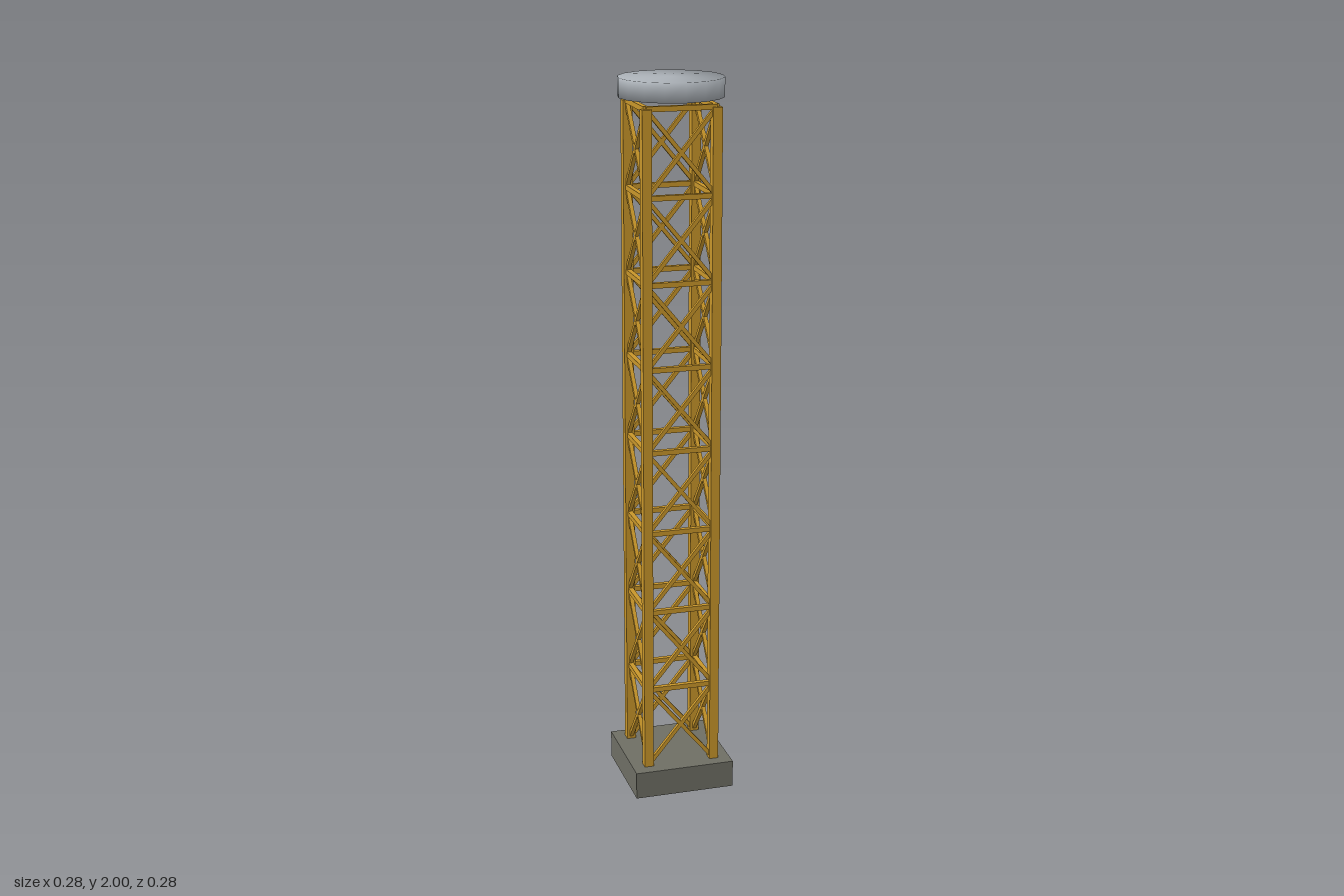
import * as THREE from 'three';

export function createModel() {
  const model = new THREE.Group();
  const yellow = new THREE.MeshStandardMaterial({ color: 0xc8962a });
  const concrete = new THREE.MeshStandardMaterial({ color: 0x6e6e64 });
  const metal = new THREE.MeshStandardMaterial({ color: 0xaab0b6 });

  const baseTop = 0.077, mastTop = 1.93, half = 0.0955, bays = 8;
  const bay = (mastTop - baseTop) / bays;

  function add(parent, name, geometry, material, x = 0, y = 0, z = 0) {
    const mesh = new THREE.Mesh(geometry, material);
    mesh.name = name;
    mesh.position.set(x, y, z);
    parent.add(mesh);
    return mesh;
  }

  // square bar lying in the x-y plane between two points
  function bar(parent, name, x1, y1, x2, y2, t) {
    const length = Math.hypot(x2 - x1, y2 - y1);
    const mesh = add(parent, name, new THREE.BoxGeometry(length, t, t), yellow, (x1 + x2) / 2, (y1 + y2) / 2, half);
    mesh.rotation.z = Math.atan2(y2 - y1, x2 - x1);
  }

  // foundation block
  add(model, 'base', new THREE.BoxGeometry(0.284, baseTop, 0.284), concrete, 0, baseTop / 2, 0);

  // corner posts
  for (const x of [-half, half]) {
    for (const z of [-half, half]) {
      add(model, 'cornerPost', new THREE.BoxGeometry(0.026, mastTop - baseTop, 0.026), yellow,
        x, (mastTop + baseTop) / 2, z);
    }
  }

  // four lattice sides: a crossed pair of braces and a top rail in each bay
  for (let side = 0; side < 4; side++) {
    const lattice = new THREE.Group();
    lattice.name = 'latticeSide';
    lattice.rotation.y = side * Math.PI / 2;
    for (let i = 0; i < bays; i++) {
      const y0 = baseTop + i * bay, y1 = y0 + bay;
      bar(lattice, 'rail', -half, y1, half, y1, 0.014);
      bar(lattice, 'braceUp', -half, y0, half, y1, 0.011);
      bar(lattice, 'braceDown', -half, y1, half, y0, 0.011);
    }
    model.add(lattice);
  }

  // slewing disc, shaded softly over its rims
  const radius = 0.142, height = 0.052;
  const disc = new THREE.CylinderGeometry(radius, radius, height, 16);
  const p = disc.attributes.position, n = new THREE.Vector3();
  for (let i = 0; i < p.count; i++) {
    n.set(p.getX(i) / radius, Math.sign(p.getY(i)), p.getZ(i) / radius).normalize();
    disc.attributes.normal.setXYZ(i, n.x, n.y, n.z);
  }
  add(model, 'topDisc', disc, metal, 0, 2 - height / 2, 0);

  return model;
}
